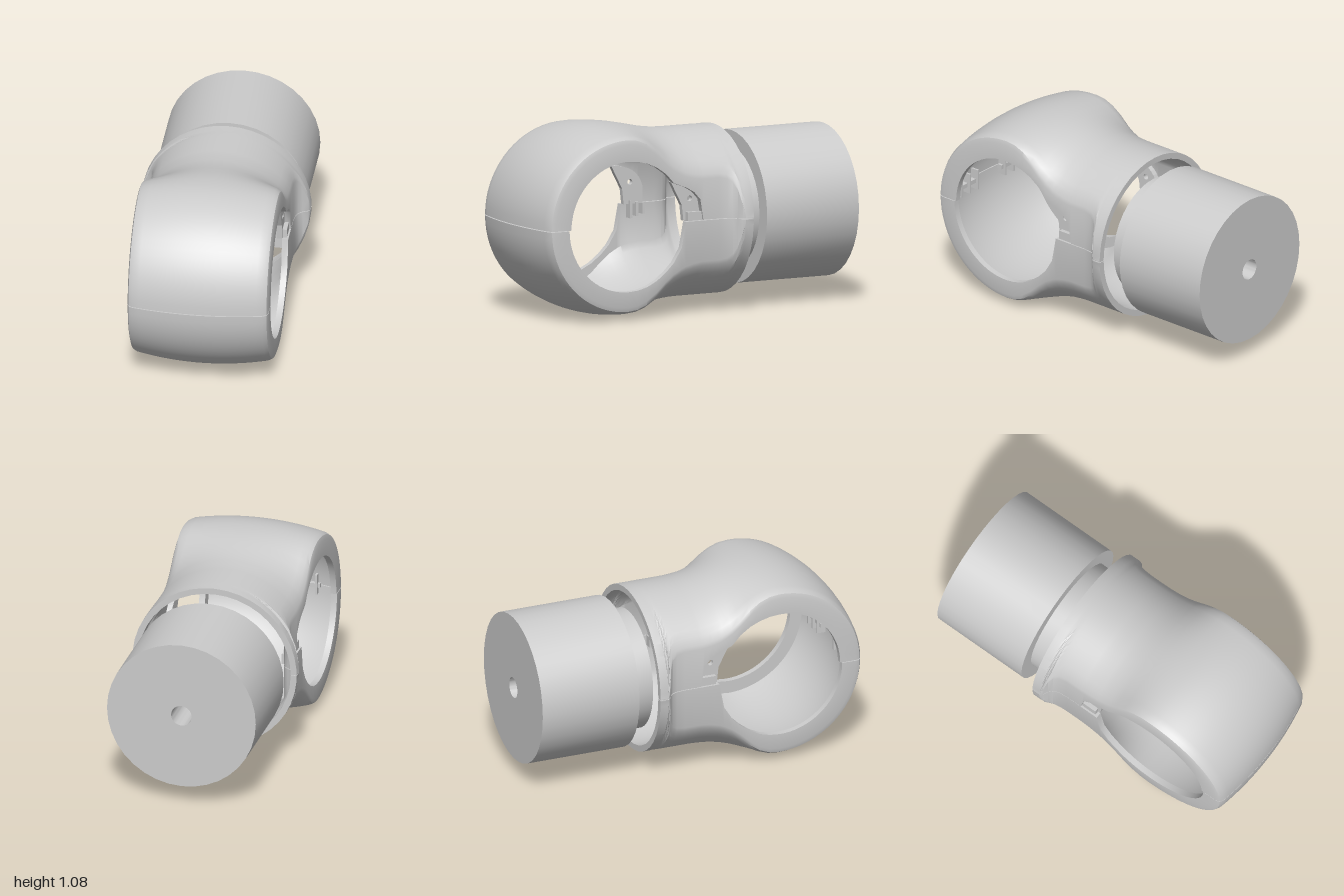
import * as THREE from 'three';
import { toCreasedNormals } from 'three/addons/utils/BufferGeometryUtils.js';

const CY = 0.545;   // height of the shared axis
const CZ = 0.46;    // centre of the ring
const WALL = 0.035;
const ARC = 20;

const material = new THREE.MeshStandardMaterial({ color: 0xcccccc, side: THREE.DoubleSide });

function add(parent, name, geometry, x = 0, y = 0, z = 0) {
  const mesh = new THREE.Mesh(geometry, material);
  mesh.name = name;
  mesh.position.set(x, y, z);
  parent.add(mesh);
  return mesh;
}

// Stations run from the nose over the ring and back to the round collar.
// crown: height at x = 0, edge: height at the flat side, hole: side opening, w: half width
function stations(upper) {
  const list = [];
  for (let i = 0; i <= 18; i++) {
    const a = 0.005 + (Math.PI / 2 - 0.005) * i / 18;
    list.push({ z: CZ, a, crown: 0.54, edge: 0.495, hole: upper ? 0.368 : 0.38 - 0.004 * i / 18, w: 0.4 });
  }
  const back = [
    // z, crown, edge, upper hole, lower hole, half width
    [0.40, 0.538, 0.488, 0.363, 0.371, 0.4],
    [0.34, 0.532, 0.464, 0.348, 0.355, 0.4],
    [0.28, 0.521, 0.422, 0.322, 0.325, 0.4],
    [0.22, 0.508, 0.366, 0.28, 0.28, 0.4],
    [0.17, 0.497, 0.326, 0.225, 0.23, 0.4],
    [0.12, 0.489, 0.298, 0.205, 0.15, 0.4],
    [0.092, 0.486, 0.286, 0.195, 0.002, 0.4],
    [0.04, 0.482, 0.273, 0.165, 0.002, 0.4],
    [0.0, 0.48, 0.267, 0.12, 0.002, 0.4],
    [-0.02, 0.48, 0.265, 0.002, 0.002, 0.4],
    [-0.12, 0.48, 0.265, 0.002, 0.002, 0.4],
    [-0.17, 0.48, 0.256, 0.002, 0.002, 0.406],
    [-0.2, 0.48, 0.236, 0.002, 0.002, 0.418],
    [-0.22, 0.48, 0.192, 0.002, 0.002, 0.44],
    [-0.235, 0.48, 0.095, 0.002, 0.002, 0.47],
    [-0.25, 0.48, 0.01, 0.002, 0.002, 0.48],
    [-0.3, 0.48, 0.01, 0.002, 0.002, 0.48],
  ];
  for (const [z, crown, edge, up, low, w] of back) {
    list.push({ z, a: Math.PI / 2, crown, edge, hole: upper ? up : low, w });
  }
  return list;
}

// Half outline [x, height]: flat side, small rounded corner, circular arc, and the same again
function outline(w, crown, edge, hole, fillet) {
  const sag = crown - edge;
  const R = (w * w + sag * sag) / (2 * sag);
  const end = Math.asin(Math.min(1, (w - fillet) / R));
  const drop = Math.max(hole, edge - fillet);
  const side = [[w, hole], [w, drop], [w - 0.25 * fillet, Math.max(drop, edge - 0.2 * fillet)]];
  const arc = [];
  for (let i = 0; i <= ARC; i++) {
    const t = end * (1 - 2 * i / ARC);
    arc.push([R * Math.sin(t), crown - R + R * Math.cos(t)]);
  }
  return [...side, ...arc, ...side.map(([x, h]) => [-x, h]).reverse()];
}

// Hollow half shell lofted through the stations; sign -1 makes the lower half
function halfShell(sign) {
  const rows = stations(sign > 0);
  const pos = [], idx = [];
  let n = 0;
  for (const s of rows) {
    const outer = outline(s.w, s.crown, s.edge, s.hole, Math.min(0.03, s.edge * 0.15));
    const innerEdge = Math.max(s.hole + 0.004, s.edge - 0.045);
    const inner = outline(s.w - WALL, s.crown - WALL, innerEdge, s.hole, 0);
    n = outer.length;
    for (const [x, h] of [...outer, ...inner.reverse()]) {
      pos.push(x, CY + sign * h * Math.sin(s.a), s.z + h * Math.cos(s.a));
    }
  }
  const quad = (a, b, c, d) => (sign > 0 ? idx.push(a, b, c, a, c, d) : idx.push(a, c, b, a, d, c));
  const m = 2 * n, last = (rows.length - 1) * m;
  for (let r = 0; r < rows.length - 1; r++) {
    for (let i = 0; i < m; i++) {
      const j = (i + 1) % m;
      quad(r * m + i, (r + 1) * m + i, (r + 1) * m + j, r * m + j);
    }
  }
  // Seam lip at the nose and rim of the collar
  for (let i = 0; i < n - 1; i++) {
    quad(i, i + 1, m - 2 - i, m - 1 - i);
    quad(last + i, last + m - 1 - i, last + m - 2 - i, last + i + 1);
  }
  const g = new THREE.BufferGeometry();
  g.setAttribute('position', new THREE.Float32BufferAttribute(pos, 3));
  g.setIndex(idx);
  return toCreasedNormals(g, 0.6);
}

// Recessed plate with a pin hole that fills the notch in the side opening
function pinPlate() {
  const shape = new THREE.Shape();
  shape.moveTo(0.09, 0);
  shape.lineTo(0.1, 0.09);
  shape.lineTo(0.17, 0.225);
  shape.quadraticCurveTo(0.0, 0.22, -0.03, 0.1);
  shape.lineTo(-0.03, 0);
  shape.closePath();
  const hole = new THREE.Path();
  hole.absarc(0.05, 0.125, 0.016, 0, Math.PI * 2, true);
  shape.holes.push(hole);
  const g = new THREE.ExtrudeGeometry(shape, { depth: 0.03, bevelEnabled: false, curveSegments: 8 });
  g.translate(0, 0, -0.015);
  return g.rotateY(-Math.PI / 2);
}

export function createModel() {
  const model = new THREE.Group();
  model.name = 'ringHousingWithShaft';

  add(model, 'upperShell', halfShell(1));
  add(model, 'lowerShell', halfShell(-1));

  // Stepped shaft with a central bore, turned about z
  const profile = [
    [0.06, -1], [0.435, -1], [0.435, -0.41], [0.345, -0.41],
    [0.345, -0.29], [0.06, -0.29], [0.06, -1],
  ].map(([r, z]) => new THREE.Vector2(r, z));
  const shaft = new THREE.LatheGeometry(profile, 36).rotateX(Math.PI / 2);
  add(model, 'shaft', toCreasedNormals(shaft, 0.5), 0, CY, 0);

  for (const side of [1, -1]) {
    // Fittings beside each opening
    add(model, 'pinPlate', pinPlate(), side * 0.35, CY, 0);
    add(model, 'pinPlateFoot', new THREE.BoxGeometry(0.03, 0.05, 0.09), side * 0.375, CY + 0.025, 0.03);
    for (let i = 0; i < 3; i++) {
      add(model, 'seamClip', new THREE.BoxGeometry(0.05, 0.1 - 0.02 * i, 0.015),
        side * 0.345, CY - 0.03, 0.05 - 0.04 * i);
    }
    // Alignment ribs behind the nose seam
    for (const x of [0.12, 0.19, 0.26]) {
      add(model, 'noseRib', new THREE.BoxGeometry(0.012, 0.12, 0.05), side * x, CY + 0.01, 0.925);
    }
    add(model, 'noseRibBar', new THREE.BoxGeometry(0.18, 0.025, 0.03), side * 0.19, CY, 0.93);
  }
  return model;
}
